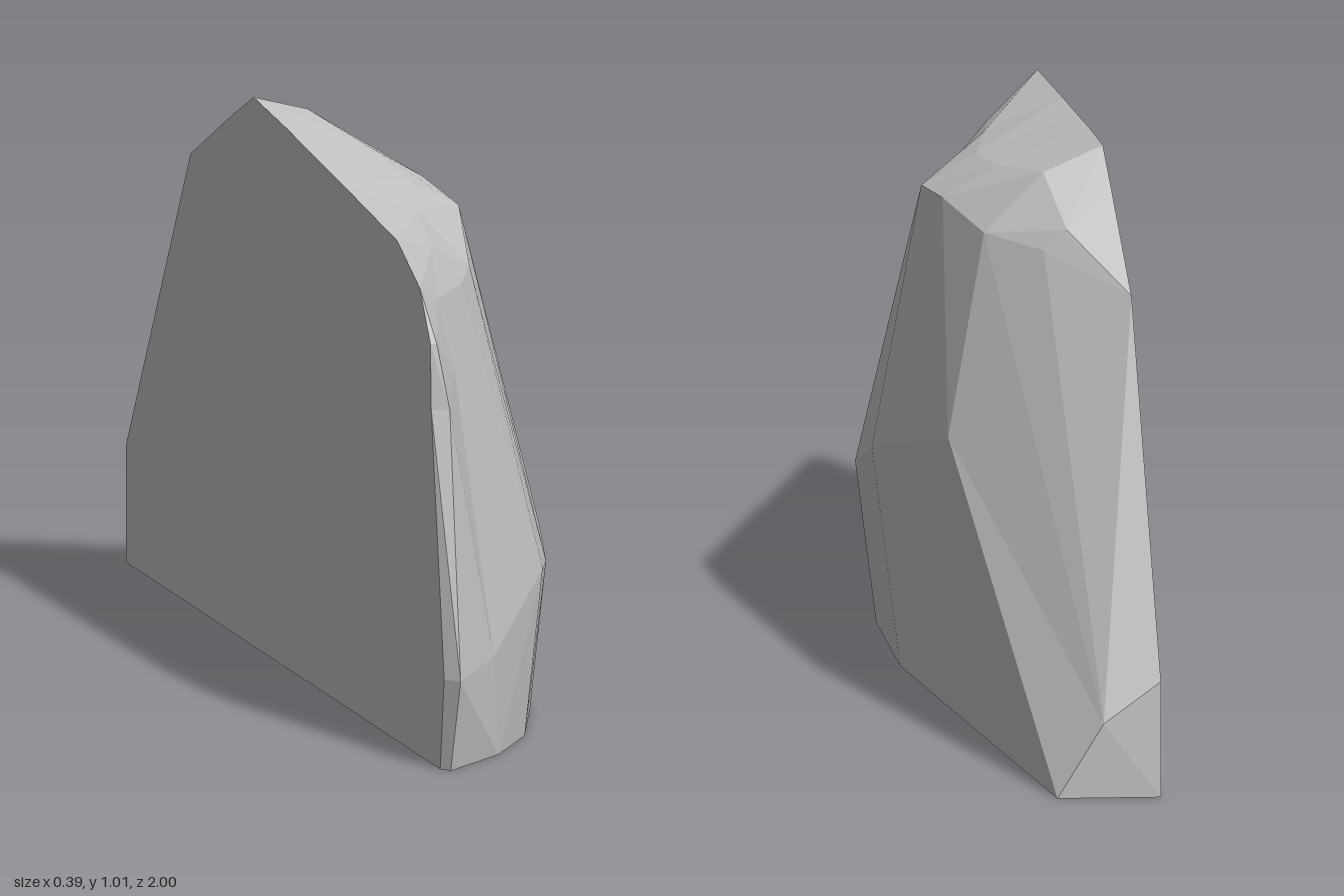
import * as THREE from 'three';

const FLAT = -0.194; // plane of the sheer, cut side

// Outlines from base to crest, each running from the back end round to the front
const base = [[FLAT, 0, -1], [-0.008, 0, -0.985], [0.09, 0, -0.38], [0.148, 0, -0.01], [0.15, 0, 0.3],
  [0.12, 0, 0.47], [0.04, 0, 0.7], [-0.055, 0, 0.85], [-0.18, 0, 0.965]];
const bulge = [[FLAT, 0.215, -1], [-0.09, 0.14, -1], [0.11, 0.52, -0.38], [0.194, 0.4, 0.03], [0.187, 0.3, 0.31],
  [0.135, 0.28, 0.52], [0.095, 0.29, 0.63], [-0.07, 0.185, 0.87], [-0.172, 0.17, 1]];
const shoulder = [[FLAT, 0.83, -0.6], [-0.06, 0.87, -0.41], [0.03, 0.87, -0.27], [0.076, 0.88, -0.05], [0.092, 0.86, 0.12],
  [0.045, 0.795, 0.34], [-0.02, 0.795, 0.5], [-0.12, 0.7, 0.79], [-0.162, 0.65, 0.9]];
const brow = [[FLAT, 0.83, -0.6], [-0.1, 0.91, -0.42], [-0.08, 0.974, -0.25], [-0.02, 0.937, -0.05], [-0.01, 0.915, 0.13],
  [-0.05, 0.9, 0.33], [-0.08, 0.87, 0.52], [-0.135, 0.82, 0.73], [-0.182, 0.77, 0.885]];
const crest = [[FLAT, 0.83, -0.6], [FLAT, 0.957, -0.33], [FLAT, 1.01, -0.21], [FLAT, 0.992, 0], [FLAT, 0.978, 0.13],
  [FLAT, 0.957, 0.34], [FLAT, 0.92, 0.68], [FLAT, 0.86, 0.82], [FLAT, 0.77, 0.885]];
const rings = [base, bulge, shoulder, brow, crest];

// Close the front edge of each outline back onto the cut side
const frontInset = [0.02, 0.03, 0.01, 0, 0];
rings.forEach((ring, i) => {
  const [, y, z] = ring[ring.length - 1];
  ring.push([FLAT, y, z - frontInset[i]]);
});

function facets(triangles) {
  const geometry = new THREE.BufferGeometry();
  geometry.setAttribute('position', new THREE.Float32BufferAttribute(triangles.flat(2), 3));
  geometry.computeVertexNormals();
  return geometry;
}

// True when point e lies outside the facet a, d, b
function isOutside(e, a, d, b) {
  const [pe, pa, pd, pb] = [e, a, d, b].map((p) => new THREE.Vector3(...p));
  const normal = pd.sub(pa).cross(pb.sub(pa));
  return normal.dot(pe.sub(pa)) > 0;
}

// Skin between neighbouring outlines, each quad split so that it bulges outward
function loft(list) {
  const triangles = [];
  for (let r = 0; r < list.length - 1; r++) {
    for (let c = 0; c < list[r].length - 1; c++) {
      const a = list[r][c], b = list[r][c + 1];
      const d = list[r + 1][c], e = list[r + 1][c + 1];
      if (isOutside(e, a, d, b)) triangles.push([a, d, e], [a, e, b]);
      else triangles.push([a, d, b], [b, d, e]);
    }
  }
  return facets(triangles);
}

// Flat convex face
function fan(points) {
  const triangles = [];
  for (let i = 1; i < points.length - 1; i++) triangles.push([points[0], points[i], points[i + 1]]);
  return facets(triangles);
}

export function createModel() {
  const group = new THREE.Group();
  group.name = 'rock';
  const stone = new THREE.MeshStandardMaterial({ color: 0xc6c6c6 });
  stone.name = 'pale grey stone';
  stone.flatShading = true;

  const add = (name, geometry) => {
    const mesh = new THREE.Mesh(geometry, stone);
    mesh.name = name;
    group.add(mesh);
  };

  add('weatheredFace', loft(rings));
  add('underside', fan(base));

  // Cut side: over the crest, down the front edge, back along the ground
  const frontEdge = rings.slice(0, 4).reverse().map((ring) => ring[ring.length - 1]);
  add('cutSide', fan([...crest, ...frontEdge, base[0], bulge[0]].reverse()));
  return group;
}
